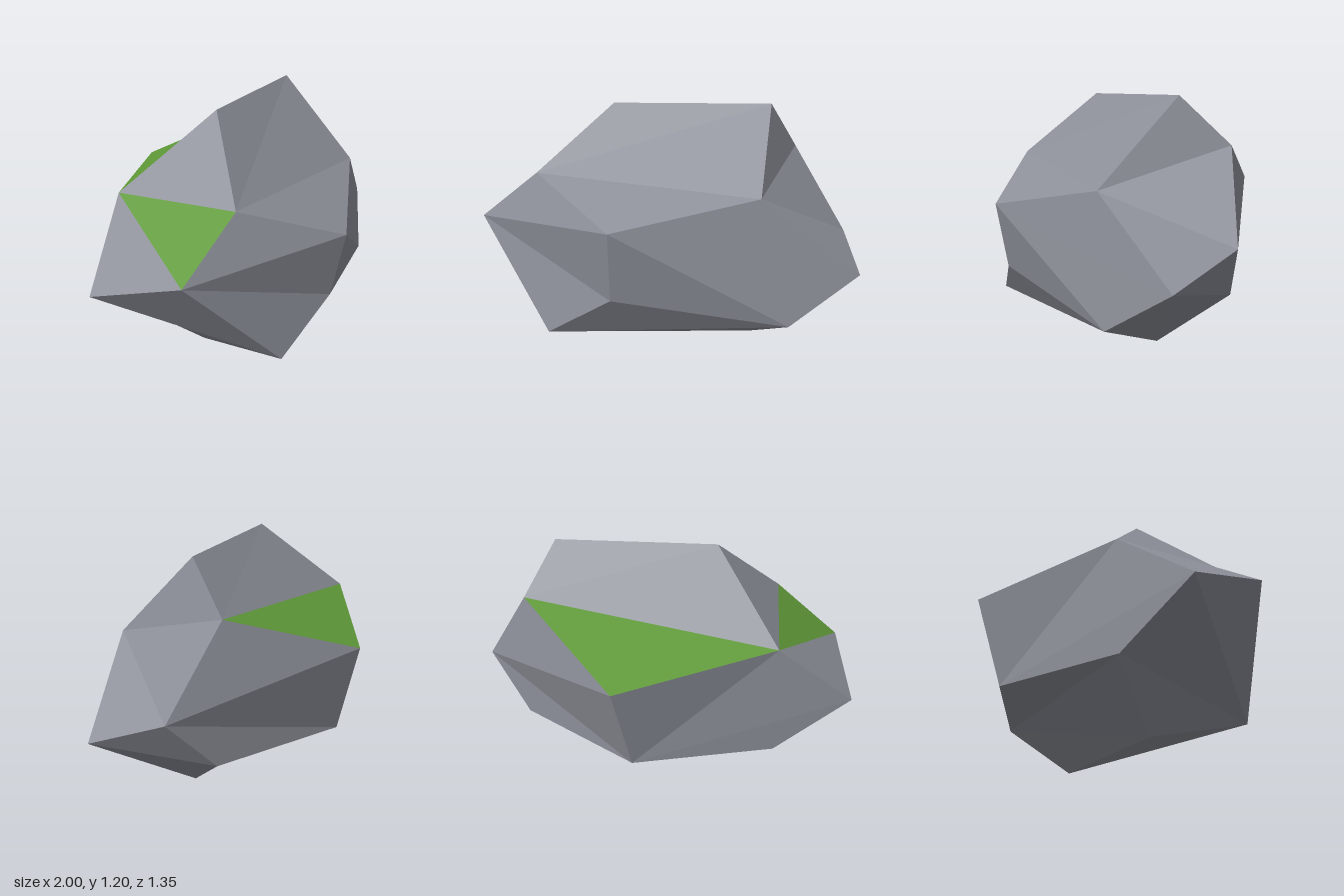
import * as THREE from 'three';

// Corners of the boulder: a distorted dodecahedron
const P = {
  A: [-0.27, 1.2, 0.07], B: [0.52, 1.2, -0.06], C: [0.615, 0.975, -0.28], D: [0.555, 0.79, 0.345],
  E: [-0.07, 0.655, 0.675], F: [-0.555, 0.87, 0.395], G: [-0.63, 0.83, -0.235], H: [-0.885, 0.63, 0.365],
  I: [-1, 0.5, -0.07], J: [-0.43, 0.12, 0.565], K: [-0.37, 0, 0.05], L: [0.45, 0.025, 0.01],
  M: [0.7, 0.2, 0.365], N: [1, 0.425, 0.18], O: [0.89, 0.56, -0.17], P: [-0.085, 0.325, 0.615],
  Q: [-0.645, 0.25, -0.235], R: [0.06, 0.75, -0.675], S: [0.005, 0.28, -0.55], T: [0.655, 0.285, -0.27],
};

// Five-sided faces, each split as a fan from its first corner
const faces = ['FABDE', 'HFEPJ', 'EDNMP', 'JPMLK', 'DBCON', 'CRGAB',
  'GAFHI', 'JHIQK', 'SRGIQ', 'OCRST', 'NMLTO', 'TSQKL'];
const mossy = ['CRG', 'GFH'];

const corner = (name) => new THREE.Vector3(...P[name]);

// True when the face already winds outward from the middle of the boulder
function facesOut(names) {
  const normal = new THREE.Vector3(), middle = new THREE.Vector3();
  [...names].forEach((name, i) => {
    const a = corner(name), b = corner(names[(i + 1) % names.length]);
    normal.add(a.clone().cross(b));
    middle.addScaledVector(a, 1 / names.length);
  });
  return normal.dot(middle.sub(new THREE.Vector3(0, 0.6, 0))) > 0;
}

function surface(name, triangles, color) {
  const points = triangles.flatMap((t) => [...t].map(corner));
  const geometry = new THREE.BufferGeometry().setFromPoints(points);
  geometry.computeVertexNormals();
  const mesh = new THREE.Mesh(geometry, new THREE.MeshStandardMaterial({ color, flatShading: true }));
  mesh.name = name;
  return mesh;
}

export function createModel() {
  const stone = [], moss = [];
  for (const face of faces) {
    const out = facesOut(face);
    for (let i = 1; i < 4; i++) {
      const [a, b, c] = [face[0], face[i], face[i + 1]];
      (mossy.includes(a + b + c) ? moss : stone).push(out ? a + b + c : a + c + b);
    }
  }
  const group = new THREE.Group();
  group.name = 'boulder';
  group.add(surface('stone', stone, 0x8c8f98), surface('mossPatches', moss, 0x5f9a38));
  return group;
}
